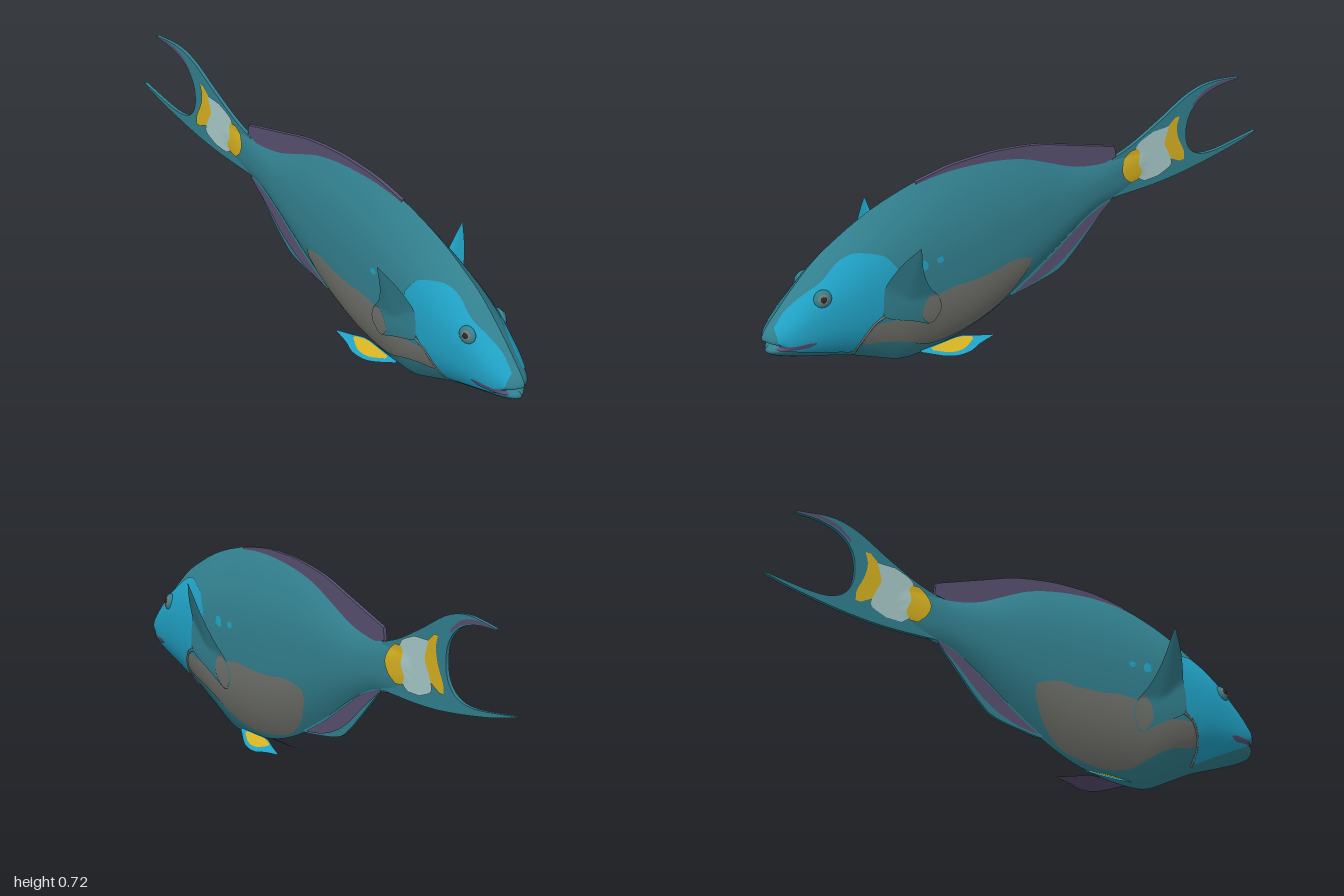
import * as THREE from 'three';

const paint = (name, color) => {
  const m = new THREE.MeshStandardMaterial({ color });
  m.name = name;
  return m;
};

// Smooth table lookup: rows are [key, a, b, ...], keys ascending
function sample(rows, k) {
  const n = rows.length;
  let i = 0;
  while (i < n - 2 && k > rows[i + 1][0]) i++;
  const p = rows[i], q = rows[i + 1], d = q[0] - p[0];
  const t = Math.min(1, Math.max(0, (k - p[0]) / d));
  const slope = (j, c) => {
    const a = rows[Math.max(0, j - 1)], b = rows[Math.min(n - 1, j + 1)];
    return (b[c] - a[c]) / (b[0] - a[0]);
  };
  return p.slice(1).map((v, c0) => {
    const c = c0 + 1;
    return v * (1 + 2 * t) * (1 - t) ** 2 + slope(i, c) * d * t * (1 - t) ** 2
      + q[c] * t * t * (3 - 2 * t) + slope(i + 1, c) * d * t * t * (t - 1);
  });
}

// Body stations: x, belly, back, half width
const BODY = [
  [-0.5, 0.4, 0.54, 0.008], [-0.4, 0.368, 0.537, 0.015], [-0.3, 0.345, 0.54, 0.025], [-0.2, 0.29, 0.565, 0.038],
  [-0.1, 0.22, 0.615, 0.05], [0, 0.155, 0.665, 0.061], [0.1, 0.1, 0.695, 0.07], [0.2, 0.06, 0.712, 0.079],
  [0.3, 0.038, 0.72, 0.086], [0.4, 0.028, 0.715, 0.092], [0.5, 0.035, 0.693, 0.098], [0.6, 0.083, 0.66, 0.1],
  [0.7, 0.135, 0.612, 0.096], [0.8, 0.175, 0.55, 0.085], [0.9, 0.215, 0.455, 0.067], [0.96, 0.245, 0.39, 0.046],
  [0.985, 0.265, 0.36, 0.029], [1, 0.29, 0.335, 0],
];

// Half thickness of the body at (x, y)
function half(x, y) {
  if (x < -0.5 || x > 1) return 0;
  const [lo, hi, w] = sample(BODY, x);
  const t = Math.abs((2 * y - lo - hi) / (hi - lo));
  return t >= 1 ? 0 : w * (1 - t ** 2.5);
}

// Point on the skin, raised a little; the snout is pinched in at the mouth
const onSkin = (lift, floor = 0) => (x, y) => {
  const notch = 0.035 * Math.exp(-(((y - 0.3) / 0.012) ** 2)) * Math.max(0, (x - 0.93) / 0.07);
  return [x - notch, y, Math.max(half(x, y), floor) + lift];
};

// Curved sheet between two edges; swap means rows are [y, xLow, xHigh]
function sheet(rows, place, { nx = 28, ny = 14, swap = false, flip = false, side = 1 } = {}) {
  const pos = [], idx = [];
  const ease = (u) => (1 - Math.cos(Math.PI * u)) / 2;
  const k0 = rows[0][0], k1 = rows[rows.length - 1][0];
  for (let i = 0; i <= nx; i++) {
    const k = k0 + (k1 - k0) * ease(i / nx);
    const [lo, hi] = sample(rows, k);
    for (let j = 0; j <= ny; j++) {
      const v = lo + (hi - lo) * ease(j / ny);
      const p = swap ? place(v, k) : place(k, v);
      pos.push(p[0], p[1], p[2] * side);
    }
  }
  const reverse = (swap !== flip) !== (side < 0);
  for (let i = 0; i < nx; i++) for (let j = 0; j < ny; j++) {
    const a = i * (ny + 1) + j, b = a + ny + 1, c = b + 1, d = a + 1;
    idx.push(...(reverse ? [a, c, b, a, d, c] : [a, b, c, a, c, d]));
  }
  const g = new THREE.BufferGeometry();
  g.setAttribute('position', new THREE.Float32BufferAttribute(pos, 3));
  g.setIndex(idx);
  g.computeVertexNormals();
  return g;
}

export function createModel() {
  const fish = new THREE.Group();
  fish.name = 'fish';
  const teal = paint('teal', 0x32808f), blue = paint('bright blue', 0x20a2c6);
  const grey = paint('warm grey', 0x73756f), purple = paint('dull purple', 0x575070);
  const yellow = paint('yellow', 0xd6b120), white = paint('pale aqua', 0xa8cac9);
  const dark = paint('dark', 0x23282e);

  const add = (name, geometry, material) => {
    const m = new THREE.Mesh(geometry, material);
    m.name = name;
    fish.add(m);
    return m;
  };
  // The same sheet on both flanks
  const pair = (name, material, rows, place, opts = {}) => {
    add(name + 'Left', sheet(rows, place, { ...opts, side: 1 }), material);
    add(name + 'Right', sheet(rows, place, { ...opts, side: -1 }), material);
  };
  // Flat fin in the middle plane, outlined by smooth runs of points
  const fin = (name, material, runs, depth) => {
    const s = new THREE.Shape();
    runs.forEach((run, i) => {
      const pts = run.map((p) => new THREE.Vector2(...p));
      if (i === 0) s.moveTo(pts[0].x, pts[0].y);
      else s.lineTo(pts[0].x, pts[0].y);
      s.splineThru(pts.slice(1));
    });
    const g = new THREE.ExtrudeGeometry(s, { depth, bevelEnabled: false, curveSegments: 8 });
    add(name, g.translate(0, 0, -depth / 2), material);
  };

  // Body and middle fins
  pair('body', teal, BODY, onSkin(0), { nx: 80, ny: 40 });
  fin('dorsalFin', purple, [
    [[0.42, 0.712], [0.3, 0.729], [0.2, 0.729], [0.1, 0.722], [-0.05, 0.693], [-0.2, 0.64], [-0.37, 0.578]],
    [[-0.375, 0.535], [-0.2, 0.52], [0, 0.63], [0.2, 0.68], [0.42, 0.7]],
  ], 0.012);
  fin('tailFin', teal, [
    [[-0.36, 0.53], [-0.45, 0.56], [-0.56, 0.615], [-0.68, 0.68], [-0.78, 0.7], [-0.905, 0.682]],
    [[-0.905, 0.678], [-0.81, 0.675], [-0.73, 0.645], [-0.685, 0.58], [-0.685, 0.49], [-0.73, 0.43],
      [-0.82, 0.412], [-1, 0.432]],
    [[-1, 0.428], [-0.88, 0.4], [-0.7, 0.373], [-0.55, 0.364], [-0.36, 0.37]],
  ], 0.012);
  fin('analFin', teal, [
    [[-0.36, 0.368], [-0.25, 0.25], [-0.19, 0.19], [-0.13, 0.15], [0, 0.126], [0.06, 0.12]],
    [[0.1, 0.2], [-0.1, 0.3], [-0.3, 0.38]],
  ], 0.01);

  // Purple marks on the anal fin and upper tail lobe
  pair('analFinStripe', purple, [
    [-0.36, 0.362, 0.37], [-0.27, 0.288, 0.335], [-0.2, 0.223, 0.29], [-0.13, 0.175, 0.24],
    [-0.05, 0.143, 0.185], [0.04, 0.127, 0.132],
  ], onSkin(0.003, 0.005));
  pair('tailTipMark', purple, [
    [-0.9, 0.68, 0.684], [-0.82, 0.679, 0.692], [-0.75, 0.662, 0.678], [-0.7, 0.628, 0.64],
  ], onSkin(0.002, 0.006));

  // Tail bands
  const band = (name, mat, rows, lift) => pair(name, mat, rows, onSkin(lift, 0.006), { swap: true });
  band('tailOuterBand', yellow, [
    [0.425, -0.675, -0.655], [0.46, -0.672, -0.6], [0.52, -0.645, -0.58], [0.57, -0.635, -0.585], [0.61, -0.645, -0.625],
  ], 0.003);
  band('tailPaleBand', white, [
    [0.395, -0.56, -0.5], [0.42, -0.615, -0.47], [0.47, -0.605, -0.455], [0.52, -0.583, -0.455],
    [0.56, -0.592, -0.47], [0.585, -0.6, -0.53],
  ], 0.004);
  band('tailInnerBand', yellow, [
    [0.41, -0.47, -0.44], [0.44, -0.485, -0.41], [0.48, -0.47, -0.395], [0.52, -0.475, -0.41], [0.54, -0.465, -0.435],
  ], 0.005);

  // Flank patches
  pair('bellyPatch', grey, [
    [0.005, 0.25, 0.29], [0.05, 0.17, 0.308], [0.1, 0.12, 0.317], [0.15, 0.09, 0.31], [0.25, 0.066, 0.31],
    [0.33, 0.062, 0.32], [0.4, 0.075, 0.315], [0.45, 0.105, 0.3], [0.52, 0.155, 0.28], [0.6, 0.19, 0.285],
    [0.66, 0.205, 0.29], [0.7, 0.24, 0.25],
  ], onSkin(0.002), { nx: 48 });
  pair('cheekPatch', blue, [
    [0.545, 0.42, 0.47], [0.58, 0.4, 0.525], [0.62, 0.32, 0.548], [0.66, 0.285, 0.56], [0.69, 0.175, 0.562],
    [0.74, 0.185, 0.545], [0.8, 0.215, 0.5], [0.86, 0.245, 0.465], [0.92, 0.275, 0.42], [0.965, 0.3, 0.37],
  ], onSkin(0.003), { nx: 48, ny: 20 });
  pair('shoulderSpot', blue, [
    [0.435, 0.435, 0.455], [0.45, 0.432, 0.47], [0.467, 0.44, 0.465],
  ], onSkin(0.002), { nx: 6, ny: 4 });
  pair('smallSpot', blue, [
    [0.375, 0.44, 0.455], [0.39, 0.437, 0.46], [0.4, 0.445, 0.455],
  ], onSkin(0.002), { nx: 6, ny: 4 });
  pair('mouthMark', purple, [
    [0.845, 0.288, 0.294], [0.87, 0.279, 0.3], [0.9, 0.282, 0.3], [0.95, 0.287, 0.304], [0.985, 0.29, 0.306],
  ], onSkin(0.005));

  // Pectoral fins: leaning out, teal outside and blue inside
  const pectoral = (lift) => (x, y) => [x, y, lift
    + Math.max(half(x, y) + 0.003, 0.088 + 0.32 * (y - 0.3) - 0.3 * Math.max(0, x - 0.51))];
  const blade = [
    [0.205, 0.415, 0.435], [0.25, 0.39, 0.5], [0.31, 0.4, 0.605], [0.36, 0.435, 0.612], [0.42, 0.465, 0.605],
    [0.49, 0.488, 0.58], [0.54, 0.498, 0.552], [0.587, 0.508, 0.513],
  ];
  pair('pectoralFinOuter', teal, blade, pectoral(0.002), { swap: true });
  pair('pectoralFinInner', blue, blade, pectoral(0), { swap: true, flip: true });
  pair('pectoralFinBase', grey, [
    [0.208, 0.415, 0.435], [0.25, 0.392, 0.465], [0.3, 0.398, 0.46], [0.335, 0.42, 0.435],
  ], pectoral(0.005), { swap: true });

  // Pelvic fins: spread sideways under the belly
  const pelvic = (lift) => (x, s) => [x, 0.042 - 0.036 * s + lift, 0.012 + 0.058 * s];
  const paddle = [
    [0.16, 0.6, 0.66], [0.22, 0.3, 0.8], [0.27, 0.03, 1], [0.34, 0, 0.85], [0.43, 0, 0.1],
  ];
  pair('pelvicFinTop', blue, paddle, pelvic(0.002), { flip: true });
  pair('pelvicFinUnderside', purple, paddle, pelvic(0));
  pair('pelvicFinPatch', yellow, [
    [0.235, 0.3, 0.45], [0.28, 0.1, 0.75], [0.33, 0.08, 0.7], [0.39, 0.1, 0.25],
  ], pelvic(0.005), { flip: true });

  // Gill rims and eyes
  for (const side of [1, -1]) {
    const tag = side > 0 ? 'Left' : 'Right';
    const rim = [[0.6, 0.315], [0.64, 0.3], [0.67, 0.26], [0.688, 0.21], [0.69, 0.155]]
      .map(([x, y]) => new THREE.Vector3(x, y, side * (half(x, y) + 0.001)));
    add('gillRim' + tag, new THREE.TubeGeometry(new THREE.CatmullRomCurve3(rim), 20, 0.005, 6), grey);

    const eye = new THREE.Group();
    eye.name = 'eye' + tag;
    [['eyeball', teal, 0.03, 0], ['iris', grey, 0.02, 0.007], ['pupil', dark, 0.01, 0.014]].forEach(([name, mat, r, out]) => {
      const m = new THREE.Mesh(new THREE.SphereGeometry(r, 20, 14), mat);
      m.name = name;
      m.scale.z = 0.45;
      m.position.z = side * out;
      eye.add(m);
    });
    eye.position.set(0.81, 0.45, side * (half(0.81, 0.45) + 0.001));
    eye.rotation.set(-0.25 * side, 0.2 * side, 0);
    fish.add(eye);
  }
  return fish;
}
